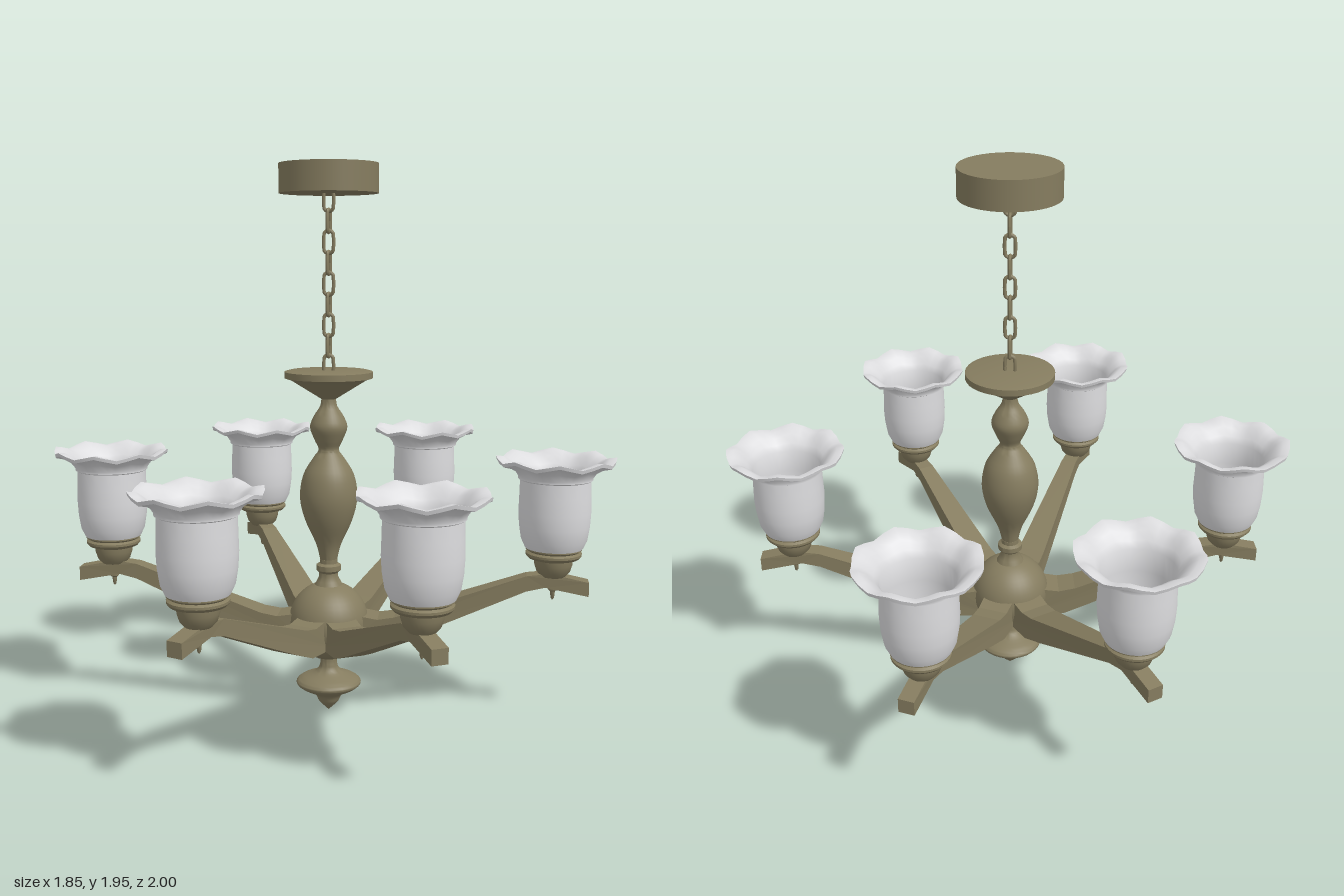
import * as THREE from 'three';
import { toCreasedNormals } from 'three/addons/utils/BufferGeometryUtils.js';

const bronze = new THREE.MeshStandardMaterial({ color: 0x857c5f });
bronze.name = 'aged bronze';
const glass = new THREE.MeshStandardMaterial({ color: 0xdcdcde });
glass.name = 'frosted glass';

function part(name, geometry, material, parent) {
  const mesh = new THREE.Mesh(geometry, material);
  mesh.name = name;
  parent.add(mesh);
  return mesh;
}

// Smooth turned shape from [radius, height] pairs listed bottom to top
function turned(points, segments = 32, crease = 0.7) {
  const pts = points.map(([r, y]) => new THREE.Vector2(r, y));
  return toCreasedNormals(new THREE.LatheGeometry(pts, segments), crease);
}

// Round an outline of control points with a spline
function smooth(points, n) {
  const curve = new THREE.SplineCurve(points.map(([r, y]) => new THREE.Vector2(r, y)));
  return curve.getPoints(n).map((p) => [Math.max(p.x, 0), p.y]);
}

// Tapered arm: side profile along +x, narrowing outwards
function armGeometry() {
  const shape = new THREE.Shape([
    [0.06, 0.26], [0.2, 0.26], [0.3, 0.3], [0.7, 0.475], [0.765, 0.49], [0.915, 0.462],
    [0.915, 0.512], [0.78, 0.54], [0.7, 0.53], [0.24, 0.37], [0.18, 0.36], [0.06, 0.38],
  ].map(([x, y]) => new THREE.Vector2(x, y)));
  const g = new THREE.ExtrudeGeometry(shape, { depth: 1, bevelEnabled: false });
  const p = g.attributes.position;
  for (let i = 0; i < p.count; i++) {
    const t = Math.min(1, Math.max(0, (p.getX(i) - 0.1) / 0.65));
    p.setZ(i, (p.getZ(i) - 0.5) * (0.115 - 0.06 * t));
  }
  g.computeVertexNormals();
  return g;
}

// Bell shade with a wavy eight-lobed rim and a thin wall
function shadeGeometry() {
  const pts = [
    [0.07, 0.622], [0.1, 0.63], [0.114, 0.66], [0.122, 0.71], [0.125, 0.76], [0.123, 0.82],
    [0.122, 0.87], [0.129, 0.874], [0.129, 0.882], [0.145, 0.905], [0.17, 0.922], [0.2, 0.93],
    [0.203, 0.942], [0.178, 0.94], [0.155, 0.925], [0.135, 0.902], [0.119, 0.88],
    [0.116, 0.8], [0.116, 0.74], [0.108, 0.67], [0.095, 0.642], [0.07, 0.64], [0.067, 0.63], [0, 0.63],
  ].map(([r, y]) => new THREE.Vector2(r, y));
  const g = new THREE.LatheGeometry(pts, 32);
  const p = g.attributes.position;
  for (let i = 0; i < p.count; i++) {
    const x = p.getX(i), y = p.getY(i), z = p.getZ(i);
    const w = Math.max(0, Math.min(1, (y - 0.885) / 0.045));
    const lobe = Math.cos(8 * Math.atan2(x, z)) * w;
    const s = 1 + 0.02 * lobe;
    p.setXYZ(i, x * s, y + 0.009 * lobe, z * s);
  }
  return toCreasedNormals(g, 0.75);
}

// Oval chain link: a torus whose two halves are pulled apart
function linkGeometry() {
  const g = new THREE.TorusGeometry(0.018, 0.0065, 6, 16);
  const p = g.attributes.position;
  for (let i = 0; i < p.count; i++) {
    const y = p.getY(i);
    p.setY(i, y + Math.sign(Math.round(y * 1e5)) * 0.021);
  }
  g.computeVertexNormals();
  return g;
}

export function createModel() {
  const model = new THREE.Group();
  model.name = 'chandelier';

  // Ceiling canopy
  const canopy = part('ceilingCanopy', new THREE.CylinderGeometry(0.172, 0.172, 0.1, 40), bronze, model);
  canopy.position.y = 1.897;

  // Chain of alternating links
  const chain = new THREE.Group();
  chain.name = 'chain';
  model.add(chain);
  const link = linkGeometry();
  const links = 9;
  for (let i = 0; i < links; i++) {
    const m = part('chainLink', link, bronze, chain);
    m.position.y = 1.255 + (i * 0.57) / (links - 1);
    m.rotation.y = (i % 2) * Math.PI / 2 + 0.25;
  }

  // Central turned column
  part('topDish', turned([
    [0.026, 1.14], [0.05, 1.155], [0.135, 1.208], [0.155, 1.214], [0.155, 1.236], [0.14, 1.24], [0, 1.24],
  ], 36, 0.4), bronze, model);
  part('column', turned([
    ...smooth([[0.03, 0.56], [0.045, 0.62], [0.085, 0.71], [0.102, 0.79], [0.09, 0.87], [0.055, 0.93],
      [0.036, 0.96], [0.05, 0.995], [0.066, 1.04], [0.052, 1.08], [0.03, 1.115], [0.025, 1.15]], 44),
  ]), bronze, model);
  part('columnRings', turned([
    [0.055, 0.46], [0.042, 0.485], [0.034, 0.5], [0.034, 0.515], [0.044, 0.525], [0.044, 0.543],
    [0.032, 0.55], [0.032, 0.565], [0, 0.565],
  ]), bronze, model);
  const hub = part('hubBall', new THREE.SphereGeometry(0.142, 36, 24), bronze, model);
  hub.position.y = 0.338;

  // Bottom finial
  part('bottomFinial', turned([
    ...smooth([[0, 0], [0.012, 0.012], [0.035, 0.035], [0.052, 0.064], [0.1, 0.09], [0.117, 0.108],
      [0.1, 0.125], [0.05, 0.147], [0.032, 0.17], [0.03, 0.21]], 36),
  ]), bronze, model);

  // Six arms, each with a lamp; opposite arms share a line
  const arm = armGeometry();
  const shade = shadeGeometry();
  const cup = turned([
    [0, 0.525], [0.042, 0.527], [0.058, 0.545], [0.066, 0.57], [0.068, 0.588], [0.088, 0.594],
    [0.097, 0.604], [0.097, 0.612], [0.088, 0.618], [0.098, 0.625], [0.098, 0.632], [0.085, 0.638], [0, 0.625],
  ]);
  const spike = turned([[0, 0.44], [0.006, 0.448], [0.009, 0.472], [0.016, 0.478], [0.016, 0.5], [0, 0.5]], 12);
  const bulbPost = turned([
    [0.033, 0.625], [0.033, 0.66], [0.024, 0.682], [0.01, 0.692], [0, 0.693],
  ], 16);
  const bearings = [1.4, 51.7, 114];
  for (let i = 0; i < 6; i++) {
    const branch = new THREE.Group();
    branch.name = 'branch';
    const degrees = bearings[i % 3] + (i < 3 ? 0 : 180);
    branch.rotation.y = THREE.MathUtils.degToRad(degrees - 90);
    model.add(branch);
    part('arm', arm, bronze, branch);
    const lamp = new THREE.Group();
    lamp.name = 'lamp';
    lamp.position.x = 0.792;
    branch.add(lamp);
    part('lampCup', cup, bronze, lamp);
    part('lampSpike', spike, bronze, lamp);
    part('bulbPost', bulbPost, bronze, lamp);
    part('glassShade', shade, glass, lamp);
  }
  return model;
}
